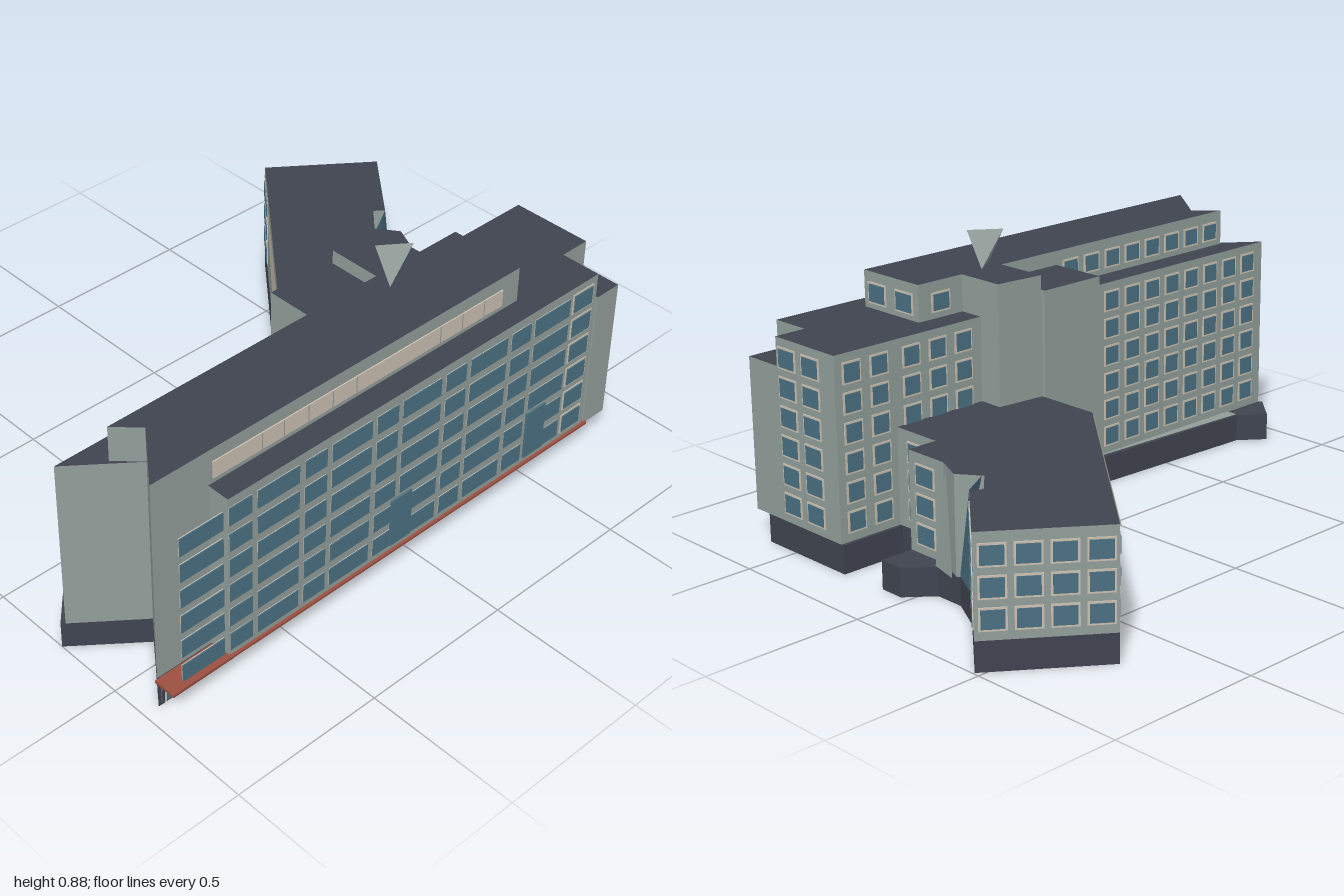
import * as THREE from 'three';
import { ConvexGeometry } from 'three/addons/geometries/ConvexGeometry.js';

export function createModel() {
  const model = new THREE.Group();
  const mat = (name, color, side = THREE.FrontSide) => {
    const m = new THREE.MeshStandardMaterial({ color, side });
    m.name = name;
    return m;
  };
  const wall = mat('wall grey', 0x929e9a, THREE.DoubleSide);
  const slate = mat('roof slate', 0x404450);
  const glass = mat('window glass', 0x4b7183, THREE.DoubleSide);
  const cream = mat('cream trim', 0xcbc1b1, THREE.DoubleSide);
  const red = mat('canopy red', 0x9c5041);

  const add = (name, geo, material, parent = model) => {
    const mesh = new THREE.Mesh(geo, material);
    mesh.name = name;
    parent.add(mesh);
    return mesh;
  };
  const group = (name) => {
    const g = new THREE.Group();
    g.name = name;
    model.add(g);
    return g;
  };
  // Upright prism over an [x, z] outline, with slate roof and chosen sides
  const block = (name, outline, y0, y1, sides = wall) => {
    const shape = new THREE.Shape(outline.map(([x, z]) => new THREE.Vector2(x, -z)));
    const geo = new THREE.ExtrudeGeometry(shape, { depth: y1 - y0, bevelEnabled: false });
    geo.rotateX(-Math.PI / 2).translate(0, y0, 0);
    return add(name, geo, [slate, sides]);
  };
  const rect = (x0, x1, z0, z1) => [[x0, z0], [x1, z0], [x1, z1], [x0, z1]];
  const box = (name, x0, x1, y0, y1, z0, z1, material, parent) => {
    const geo = new THREE.BoxGeometry(x1 - x0, y1 - y0, z1 - z0);
    geo.translate((x0 + x1) / 2, (y0 + y1) / 2, (z0 + z1) / 2);
    return add(name, geo, material, parent);
  };
  // Flat fan panel through a few corner points
  const panel = (name, pts, material) => {
    const geo = new THREE.BufferGeometry();
    geo.setAttribute('position', new THREE.Float32BufferAttribute(pts.flat(), 3));
    geo.setIndex(pts.length === 3 ? [0, 1, 2] : [0, 1, 2, 0, 2, 3]);
    geo.computeVertexNormals();
    return add(name, geo, material);
  };
  // Grid of framed windows; a is the wall's left end and b its right end, seen from outside
  const windows = (name, a, b, offsets, rows, w, h) => {
    const g = group(name);
    g.position.set(a[0], 0, a[1]);
    g.rotation.y = Math.atan2(-(b[1] - a[1]), b[0] - a[0]);
    for (const s of offsets) for (const y of rows) {
      box('windowFrame', s - w / 2 - 0.006, s + w / 2 + 0.006, y - h / 2 - 0.006, y + h / 2 + 0.006, 0, 0.003, cream, g);
      box('windowPane', s - w / 2, s + w / 2, y - h / 2, y + h / 2, 0.001, 0.005, glass, g);
    }
  };
  const spread = (n, first, step) => Array.from({ length: n }, (_, i) => first + i * step);

  const floors = spread(6, 0.15, 0.09);
  const wingFloors = floors.slice(0, 3);
  const B = 0.09, WING = 0.395, MAIN = 0.66, TOP = 0.775;

  // Ground floor plinth
  block('mainPlinth', [[-1, 0.27], [-0.91, 0.17], [-0.83, 0.235], [-0.11, 0.27], [0.83, 0.27],
    [0.83, 0.625], [-0.95, 0.625], [-0.8, 0.43]], 0, B, slate);
  block('wingPlinth', [[-0.11, 0.27], [-0.11, 0.17], [0.12, -0.03], [0.69, -0.71], [0.995, -0.48],
    [0.8, -0.25], [0.74, -0.135], [0.74, -0.04], [0.82, 0.03], [0.82, 0.11], [0.61, 0.11], [0.61, 0.27]], 0, B, slate);
  panel('backSill', [[-0.83, 0.093, 0.238], [-0.83, 0.093, 0.28], [-0.11, 0.093, 0.28]], wall);

  // Main slab, with its notched west end, and the lower corner block
  block('mainBlock', [[-0.99, 0.28], [-0.8, 0.43], [-0.94, 0.61], [-0.745, 0.61], [-0.745, 0.685],
    [0.725, 0.685], [0.725, 0.55], [0.83, 0.55], [0.83, 0.28]], B, MAIN);
  block('cornerBlock', rect(0.735, 0.83, 0.549, 0.685), B, 0.57);

  // Set-back top storey, stair towers and roof fin
  block('topStorey', [[-0.94, 0.61], [-0.8, 0.43], [-0.87, 0.36], [0.45, 0.36], [0.45, 0.61]], MAIN, TOP);
  block('stairTower', rect(-0.11, 0.12, 0.17, 0.37), B, 0.73);
  block('liftTower', [[0.12, 0.185], [0.28, 0.2], [0.28, 0.37], [0.12, 0.37]], B, TOP);
  add('roofFin', new ConvexGeometry([
    [0.11, TOP, 0.425], [0.2, 0.885, 0.425], [0.11, 0.885, 0.36], [0.2, TOP, 0.36],
  ].map((p) => new THREE.Vector3(...p))), wall);

  // Angled rear wing with a glazed recess
  block('rearWing', [[0.12, 0.28], [0.12, -0.03], [0.69, -0.71], [0.995, -0.48], [0.8, -0.25],
    [0.77, -0.275], [0.7, -0.2], [0.75, -0.13], [0.71, -0.04], [0.71, 0.11], [0.61, 0.11], [0.61, 0.28]], B, WING);
  panel('recessGlass', [[0.74, B, -0.135], [0.8, B, -0.25], [0.8, WING, -0.25], [0.705, WING, -0.195]], glass);
  panel('leaningWall', [[0.715, 0.39, -0.055], [0.74, B, -0.03], [0.765, B, -0.13]], wall);
  panel('wingCreamPanel', [[0.687, 0.392, -0.712], [0.117, B, -0.032], [0.117, 0.392, -0.032]], cream);

  // Front window bands: alternating wide and narrow panes, standing free past the west end
  const front = group('frontWindows');
  for (const y of floors) for (let k = 0; k < 6; k++) {
    for (const [start, w] of [[-0.915, 0.15], [-0.743, 0.08]]) {
      const x = start + k * 0.273;
      const edge = k === 5 && w < 0.1 ? 0.006 : 0;
      box('frontFrame', x - edge, x + w + edge, y - 0.03 - edge, y + 0.03 + edge, 0.684, 0.687, cream, front);
      box('frontPane', x, x + w, y - 0.03, y + 0.03, 0.6865, 0.69, glass, front);
    }
  }
  for (const x of [-0.13, 0.445]) box('tallGlassPanel', x, x + 0.083, 0.12, 0.287, 0.686, 0.693, glass, front);

  // Shopfront glazing with mullions
  const shop = group('shopfront');
  box('shopGlass', -0.94, 0.82, 0.008, 0.085, 0.624, 0.629, glass, shop);
  for (let i = 0; i < 20; i++) {
    const x = -0.94 + i * 0.0875;
    box('slateMullion', x, x + 0.008, 0.008, 0.085, 0.628, 0.631, slate, shop);
    box('creamMullion', x + 0.008, x + 0.015, 0.008, 0.085, 0.628, 0.631, cream, shop);
  }

  // Red canopy and slim ledge along the front
  box('canopy', -0.955, -0.74, 0.09, 0.1, 0.62, 0.695, red);
  box('frontLedge', -0.74, 0.74, 0.09, 0.098, 0.68, 0.694, red);

  // Cream ribbon on the top storey
  const ribbon = group('topRibbon');
  box('ribbonStrip', -0.73, 0.38, 0.677, 0.733, 0.609, 0.614, cream, ribbon);
  for (const x of [-0.56, -0.48, -0.39, -0.3, -0.21, 0.12, 0.21, 0.3])
    box('ribbonJoint', x, x + 0.003, 0.677, 0.733, 0.613, 0.615, wall, ribbon);

  // Framed windows on the ends and the back
  windows('eastEndWindows', [0.83, 0.55], [0.83, 0.28], [0.05, 0.16], floors, 0.07, 0.055);
  windows('topEastWindows', [0.45, 0.61], [0.45, 0.36], [0.06, 0.185], [0.71], 0.07, 0.055);
  windows('backWindows', [-0.11, 0.28], [-0.99, 0.28], spread(9, 0.07, 0.092), floors, 0.055, 0.055);
  windows('backEastWindows', [0.83, 0.28], [0.61, 0.28], [0.06, 0.16], floors, 0.055, 0.055);
  windows('backUpperWindows', [0.61, 0.28], [0.28, 0.28], [0.06, 0.16, 0.26], floors.slice(3), 0.055, 0.055);
  windows('topBackWindows', [-0.11, 0.36], [-0.87, 0.36], spread(8, 0.06, 0.092), [0.71], 0.055, 0.05);
  windows('topBackEastWindows', [0.45, 0.36], [0.28, 0.36], [0.085], [0.71], 0.06, 0.05);
  windows('wingInnerWindows', [0.61, 0.28], [0.61, 0.11], [0.085], wingFloors, 0.07, 0.055);
  windows('wingBayWindows', [0.71, 0.11], [0.71, -0.04], [0.07], wingFloors, 0.07, 0.055);
  windows('wingEastWindows', [0.8, -0.25], [0.995, -0.48], [0.045, 0.15, 0.25], wingFloors, 0.07, 0.055);
  windows('wingEndWindows', [0.995, -0.48], [0.69, -0.71], [0.05, 0.145, 0.24, 0.335], wingFloors, 0.065, 0.055);
  windows('wingWestWindows', [0.69, -0.71], [0.12, -0.03], [0.05, 0.14], wingFloors, 0.06, 0.05);
  windows('wingLinkWindows', [0.12, -0.03], [0.12, 0.17], [0.06, 0.14], wingFloors, 0.055, 0.055);

  return model;
}
